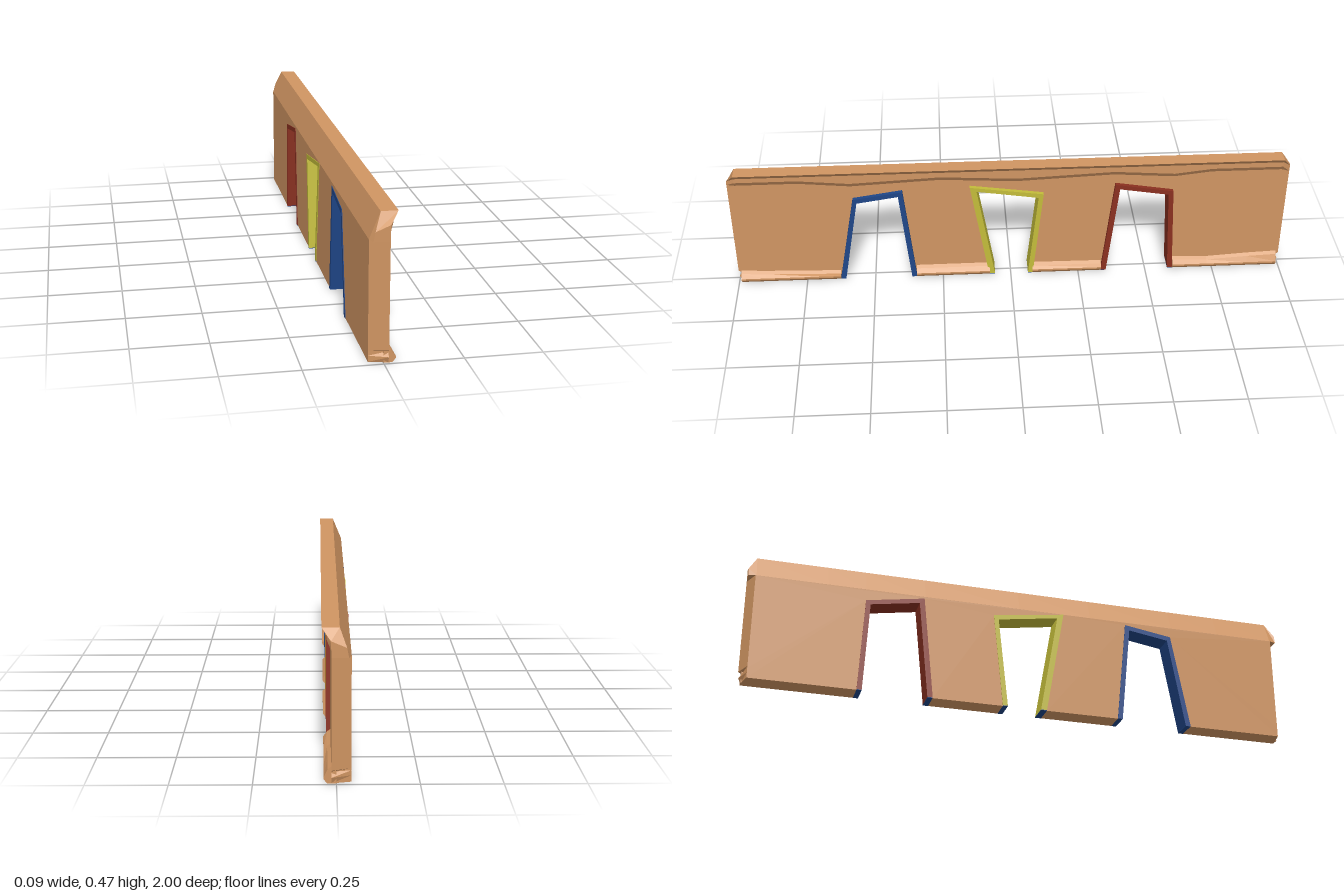
import * as THREE from 'three';

const mat = (name, color) => {
  const m = new THREE.MeshStandardMaterial({ color });
  m.name = name;
  return m;
};

// Prism: outline of [z, y] points, extruded from x0 to x1
function prism(outline, x0, x1) {
  const shape = new THREE.Shape(outline.map(([z, y]) => new THREE.Vector2(-z, y)));
  const g = new THREE.ExtrudeGeometry(shape, { depth: x1 - x0, bevelEnabled: false });
  return g.rotateY(Math.PI / 2).translate(x0, 0, 0);
}

// Loft: sections { z, ring } with z rising, ring = counter-clockwise [x, y] points
function loft(sections) {
  const pos = [];
  const put = (s, j) => pos.push(s.ring[j][0], s.ring[j][1], s.z);
  for (let i = 0; i + 1 < sections.length; i++) {
    const a = sections[i], b = sections[i + 1], n = a.ring.length;
    for (let j = 0; j < n; j++) {
      const k = (j + 1) % n;
      put(a, j); put(a, k); put(b, k);
      put(a, j); put(b, k); put(b, j);
    }
  }
  const cap = (s, flip) => {
    const pts = s.ring.map(([x, y]) => new THREE.Vector2(x, y));
    for (const [p, q, r] of THREE.ShapeUtils.triangulateShape(pts, [])) {
      (flip ? [p, r, q] : [p, q, r]).forEach((j) => put(s, j));
    }
  };
  cap(sections[0], true);
  cap(sections[sections.length - 1], false);
  const g = new THREE.BufferGeometry();
  g.setAttribute('position', new THREE.Float32BufferAttribute(pos, 3));
  g.computeVertexNormals();
  return g;
}

export function createModel() {
  const group = new THREE.Group();
  const clay = mat('clay wall', 0xd09562);
  const blue = mat('blue paint', 0x1f4688);
  const yellow = mat('yellow paint', 0xc3bc3a);
  const red = mat('red paint', 0x8a3020);
  const add = (name, geometry, material) => {
    const m = new THREE.Mesh(geometry, material);
    m.name = name;
    group.add(m);
  };

  // Crooked doorways: outer and inner corners, foot to foot
  const doors = [
    { name: 'blue', paint: blue,
      outer: [[0.627, 0], [0.563, 0.352], [0.386, 0.379], [0.347, 0]],
      inner: [[0.608, 0], [0.55, 0.336], [0.402, 0.359], [0.365, 0]] },
    { name: 'yellow', paint: yellow,
      outer: [[0.08, 0], [0.146, 0.389], [-0.118, 0.351], [-0.082, 0]],
      inner: [[0.058, 0], [0.122, 0.371], [-0.1, 0.336], [-0.064, 0]] },
    { name: 'red', paint: red,
      outer: [[-0.335, 0], [-0.375, 0.382], [-0.585, 0.346], [-0.602, 0]],
      inner: [[-0.354, 0], [-0.392, 0.362], [-0.568, 0.332], [-0.584, 0]] },
  ];

  // Wall body with door gaps and a nicked foot at each end
  const foot = [[1, 0.39], [1, 0.043], [0.988, 0.036], [0.998, 0.02], [0.99, 0]];
  const outline = [
    ...foot,
    ...doors.flatMap((d) => d.outer),
    ...foot.map(([z, y]) => [-z, y]).reverse(),
  ];
  const body = prism(outline, -0.045, 0.015);
  const p = body.attributes.position;
  for (let i = 0; i < p.count; i++) {
    // Bevel the rear upright edges
    if (p.getX(i) < -0.04 && Math.abs(p.getZ(i)) > 0.98) {
      p.setX(i, -0.045);
      p.setZ(i, Math.sign(p.getZ(i)) * 0.975);
    }
  }
  body.computeVertexNormals();
  add('wall', body, clay);

  // Sloped top with a wavy crown ledge and mitred ends
  const crownRing = (w) => [
    [-0.045, 0.39], [0.015, 0.39], [0.015, w - 0.02], [0.029, w],
    [0.029, 0.457], [0.044, 0.475], [-0.01, 0.475],
  ];
  const endRing = [
    [-0.037, 0.39], [0.015, 0.39], [0.015, 0.41], [0.016, 0.425],
    [0.016, 0.434], [0.016, 0.44], [-0.031, 0.42],
  ];
  const wave = [
    [-0.972, 0.438], [-0.72, 0.438], [-0.585, 0.422], [-0.37, 0.438], [-0.02, 0.422],
    [0.25, 0.438], [0.57, 0.422], [0.755, 0.44], [0.972, 0.44],
  ];
  add('crown', loft([
    { z: -1, ring: endRing },
    ...wave.map(([z, w]) => ({ z, ring: crownRing(w) })),
    { z: 1, ring: endRing },
  ]), clay);

  // Skirting between the doors: [z, height]
  const baseRing = (h) => [
    [0, 0], [0.028, 0], [0.038, 0.013], [0.038, 0.02],
    [0.026, h - 0.008], [0.015, h], [0, h],
  ];
  const skirtings = [
    [[-0.99, 0.053], [-0.88, 0.048], [-0.73, 0.038], [-0.602, 0.044]],
    [[-0.335, 0.036], [-0.08, 0.038]],
    [[0.078, 0.043], [0.347, 0.042]],
    [[0.627, 0.03], [0.7, 0.032], [0.9, 0.038], [0.99, 0.043]],
  ];
  for (const run of skirtings) {
    add('skirting', loft(run.map(([z, h]) => ({ z, ring: baseRing(h) }))), clay);
  }

  // Door frames with dark feet
  for (const d of doors) {
    const lift = ([z, y]) => [z, Math.max(y, 0.002)];
    const frame = [...d.outer, ...[...d.inner].reverse()].map(lift);
    add(`${d.name} door frame`, prism(frame, -0.047, 0.029), d.paint);
    for (const i of [0, 3]) {
      const a = d.outer[i][0], b = d.inner[i][0];
      add('frame foot', prism([[a, 0], [b, 0], [b, 0.002], [a, 0.002]], -0.047, 0.029), blue);
    }
  }
  return group;
}
